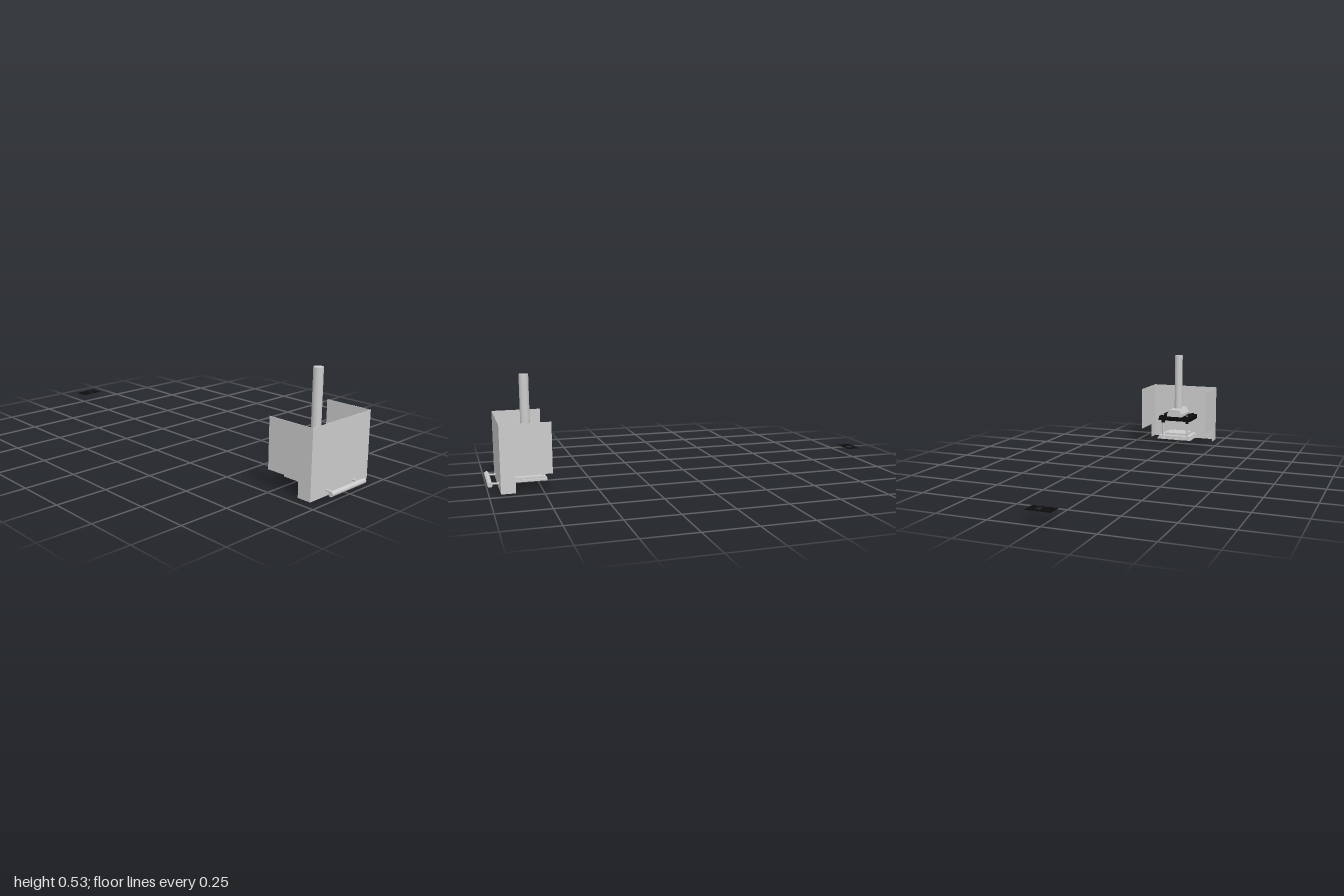
import * as THREE from 'three';

const grey = new THREE.MeshStandardMaterial({ color: 0xcccccc, side: THREE.DoubleSide });
const black = new THREE.MeshStandardMaterial({ color: 0x0c0c0c, side: THREE.DoubleSide });

export function createModel() {
  const model = new THREE.Group();

  const add = (name, geometry, x, y, z, material = grey) => {
    const mesh = new THREE.Mesh(geometry, material);
    mesh.name = name;
    mesh.position.set(x, y, z);
    model.add(mesh);
    return mesh;
  };
  // Box given by its limits on each axis
  const box = (name, [x0, x1], [y0, y1], [z0, z1], material) =>
    add(name, new THREE.BoxGeometry(x1 - x0, y1 - y0, z1 - z0),
      (x0 + x1) / 2, (y0 + y1) / 2, (z0 + z1) / 2, material);
  // Upright cylinder from y0 to y1
  const post = (name, r, x, z, y0, y1, material) =>
    add(name, new THREE.CylinderGeometry(r, r, y1 - y0, 32), x, (y0 + y1) / 2, z, material);
  const shapeOf = (points) => new THREE.Shape(points.map(([x, y]) => new THREE.Vector2(x, y)));

  // Guard: front sheet and two side sheets with a foot at the front
  const t = 0.002;
  box('guardFront', [-0.2, 0.2], [0, 0.327], [0.943, 0.945]);
  const side = shapeOf([
    [0.943, 0], [0.943, 0.327], [0.705, 0.327], [0.705, 0.082], [0.877, 0.082], [0.877, 0],
  ]);
  for (const x of [-0.2, 0.2 - t]) {
    const g = new THREE.ExtrudeGeometry(side, { depth: t, bevelEnabled: false });
    g.rotateY(-Math.PI / 2); // shape x becomes z, depth runs to -x
    add('guardSide', g, x + t, 0, 0);
  }

  // Handle bar on two stand-offs
  const bar = add('handleBar', new THREE.CylinderGeometry(0.012, 0.012, 0.237, 32), -0.001, 0.027, 0.988);
  bar.rotation.z = Math.PI / 2;
  for (const x of [-0.093, 0.091]) {
    const standOff = add('handleStandOff', new THREE.CylinderGeometry(0.005, 0.005, 0.045, 20), x, 0.027, 0.9605);
    standOff.rotation.x = Math.PI / 2;
  }

  // Lower die shoe in steps
  box('lowerShoe', [-0.105, 0.102], [0.026, 0.036], [0.717, 0.88]);
  box('lowerShoeStep', [-0.098, 0.095], [0.036, 0.047], [0.723, 0.873]);
  box('dieBlock', [-0.07, 0.067], [0.047, 0.059], [0.755, 0.862]);
  for (const x of [-0.05, 0.047]) {
    for (const z of [0.775, 0.842]) post('dieScrew', 0.005, x, z, 0.058, 0.061);
  }

  // Guide posts with bushings at the back corners
  for (const x of [-0.077, 0.074]) {
    post('guidePost', 0.006, x, 0.737, 0.04, 0.168);
    post('guideBushing', 0.01, x, 0.737, 0.125, 0.172, black);
    post('guideCap', 0.006, x, 0.737, 0.168, 0.174);
  }

  // Upper die shoe
  box('upperShoe', [-0.1, 0.097], [0.14, 0.165], [0.72, 0.873], black);
  for (const x of [-0.077, 0.074]) post('upperShoeBolt', 0.009, x, 0.855, 0.165, 0.171, black);

  // Tapered holder under the ram
  const holder = new THREE.ExtrudeGeometry(
    shapeOf([[-0.048, 0.165], [0.045, 0.165], [0.045, 0.18], [0.028, 0.207], [-0.031, 0.207], [-0.048, 0.18]]),
    { depth: 0.147, bevelEnabled: false });
  add('ramHolder', holder, 0, 0, 0.723);

  post('ram', 0.023, -0.001, 0.803, 0.205, 0.53);

  // Separate flat plate with a small window
  const plate = shapeOf([[-0.049, 0.925], [0.074, 0.925], [0.074, 1], [-0.049, 1]]);
  plate.holes.push(shapeOf([[0.016, 0.947], [0.016, 0.974], [0.036, 0.974], [0.036, 0.947]]));
  const plateGeometry = new THREE.ShapeGeometry(plate);
  plateGeometry.rotateX(-Math.PI / 2);
  add('flatPlate', plateGeometry, 0, 0.063, 0, black);

  return model;
}
